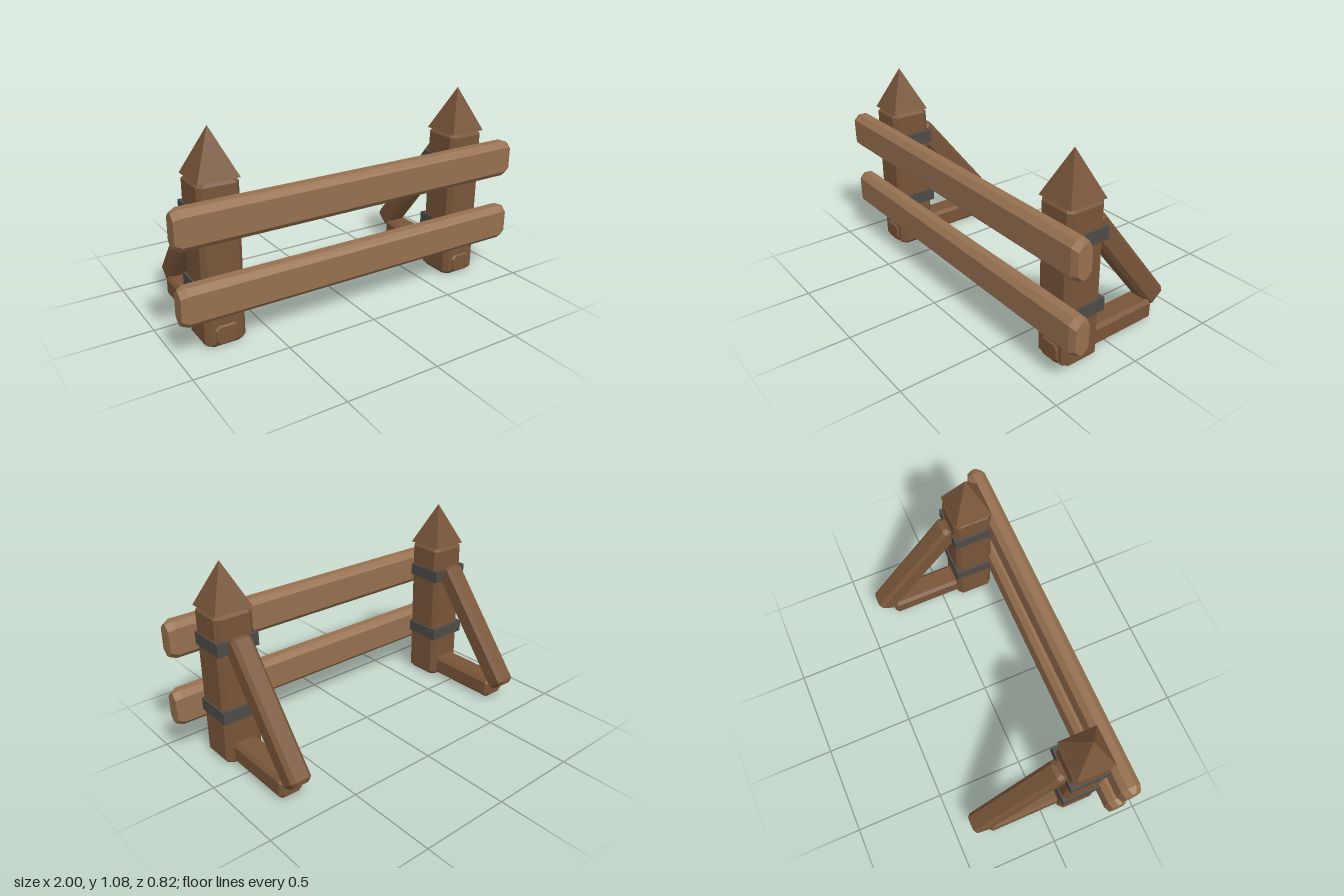
import * as THREE from 'three';

const wood = (name, color) => Object.assign(new THREE.MeshStandardMaterial({ color, flatShading: true }), { name });
const darkWood = wood('dark wood', 0x785539);
const lightWood = wood('light wood', 0x96704f);
const iron = wood('dark iron', 0x4e4b47);

// Beam along z with an octagonal section and bevelled ends
function beamGeometry(w, h, length, chamfer, endBevel, endInset) {
  const section = (inset) => {
    const a = w / 2 - inset, b = h / 2 - inset, c = chamfer;
    return [[a, -b + c], [a, b - c], [a - c, b], [-a + c, b], [-a, b - c], [-a, -b + c], [-a + c, -b], [a - c, -b]];
  };
  const rings = [
    [-length / 2, endInset], [-length / 2 + endBevel, 0],
    [length / 2 - endBevel, 0], [length / 2, endInset],
  ];
  const positions = [], index = [];
  for (const [z, inset] of rings) for (const [x, y] of section(inset)) positions.push(x, y, z);
  for (let r = 0; r < 3; r++) {
    for (let i = 0; i < 8; i++) {
      const a = r * 8 + i, b = r * 8 + (i + 1) % 8;
      index.push(a, b, b + 8, a, b + 8, a + 8);
    }
  }
  for (let i = 1; i < 7; i++) index.push(0, i + 1, i, 24, 24 + i, 25 + i);
  const geometry = new THREE.BufferGeometry();
  geometry.setAttribute('position', new THREE.Float32BufferAttribute(positions, 3));
  geometry.setIndex(index);
  const flat = geometry.toNonIndexed();
  flat.computeVertexNormals();
  return flat;
}

function add(parent, name, geometry, material, x, y, z) {
  const mesh = new THREE.Mesh(geometry, material);
  mesh.name = name;
  mesh.position.set(x, y, z);
  parent.add(mesh);
  return mesh;
}

export function createModel() {
  const model = new THREE.Group();
  model.name = 'woodenFence';

  const postGeometry = beamGeometry(0.215, 0.22, 0.845, 0.025, 0.022, 0.018).rotateX(-Math.PI / 2);
  const spikeGeometry = new THREE.ConeGeometry(0.107 * Math.SQRT2, 0.235, 4).rotateY(Math.PI / 4);
  const bandGeometry = new THREE.BoxGeometry(0.235, 0.07, 0.23);
  const footGeometry = beamGeometry(0.138, 0.115, 0.645, 0.018, 0.018, 0.014);
  const braceGeometry = beamGeometry(0.118, 0.12, 0.77, 0.02, 0.02, 0.016);

  // Two braced posts
  for (const side of [-1, 1]) {
    const support = new THREE.Group();
    support.name = side > 0 ? 'leftSupport' : 'rightSupport';
    support.position.x = side * 0.742;
    add(support, 'post', postGeometry, darkWood, 0, 0.4245, 0.21);
    add(support, 'spike', spikeGeometry, darkWood, 0, 0.9625, 0.211);
    for (const y of [0.295, 0.675]) add(support, 'ironBand', bandGeometry, iron, 0, y, 0.206);
    add(support, 'foot', footGeometry, darkWood, 0, 0.068, 0.0075);
    add(support, 'brace', braceGeometry, darkWood, 0, 0.404, -0.132).rotation.x = -0.902;
    model.add(support);
  }

  // Two front rails, set slightly out of true
  const railGeometry = beamGeometry(0.105, 0.2, 1.99, 0.03, 0.035, 0.013).rotateY(Math.PI / 2);
  const rails = [['lowerRail', 0.003, 0.295, 0.0005], ['upperRail', -0.004, 0.677, 0.003]];
  for (const [name, x, y, tilt] of rails) {
    add(model, name, railGeometry, lightWood, x, y, 0.356).rotation.set(0, -0.002, tilt);
  }
  return model;
}
